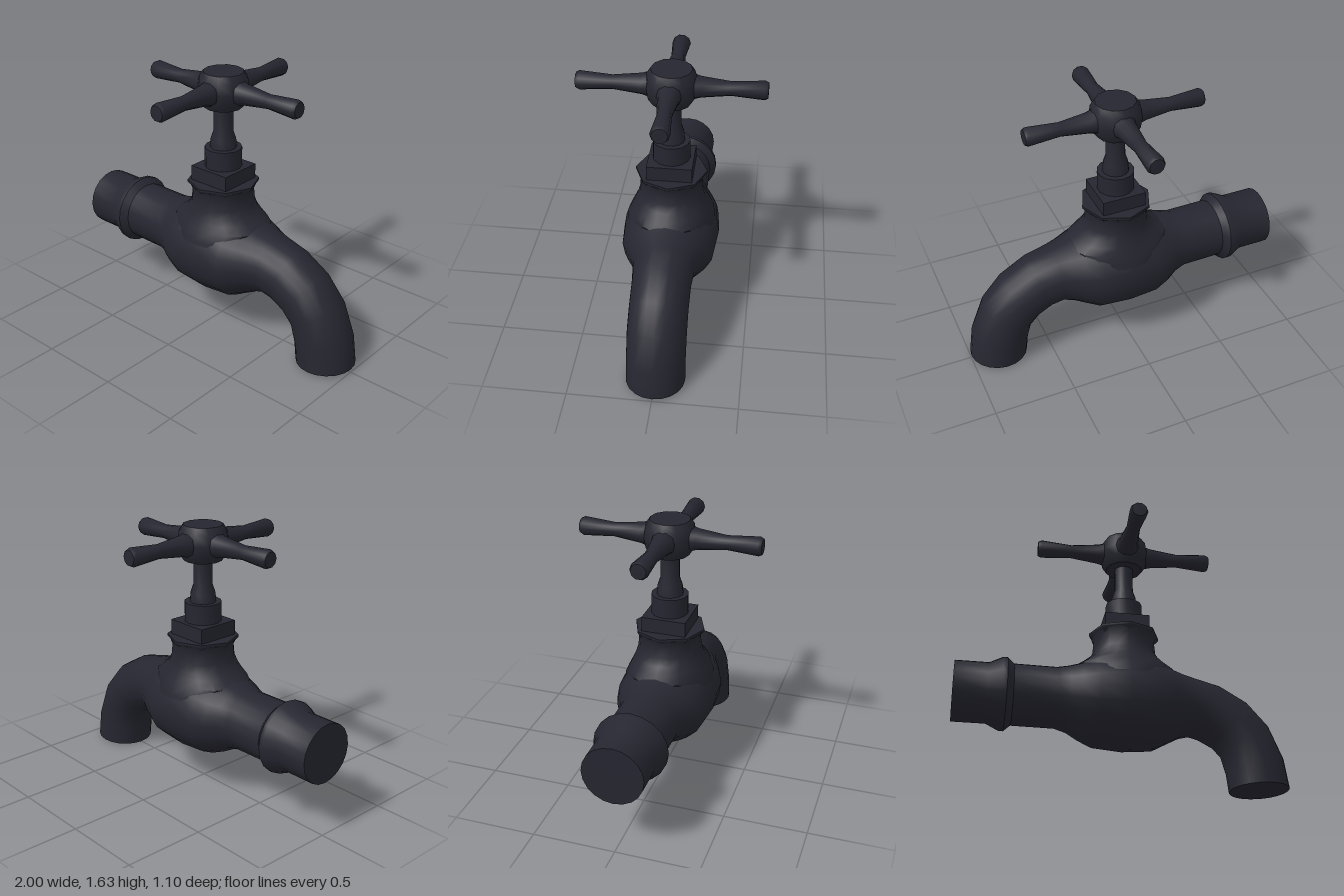
import * as THREE from 'three';
import { toCreasedNormals } from 'three/addons/utils/BufferGeometryUtils.js';

const CX = 0.01; // axis of the valve

const darkMetal = new THREE.MeshStandardMaterial({ color: 0x262631 });
darkMetal.name = 'dark metal';

// Closed skin over elliptical rings; each ring is [ax, ay, bx, by, halfWidthZ],
// where a and b are opposite points of the ring in the z = 0 plane.
function loft(rings, sides) {
  const pos = [];
  const point = ([ax, ay, bx, by, w], j) => {
    const t = (j / sides) * Math.PI * 2;
    const c = Math.cos(t) / 2;
    return [(ax + bx) / 2 + (ax - bx) * c, (ay + by) / 2 + (ay - by) * c, w * Math.sin(t)];
  };
  const middle = ([ax, ay, bx, by]) => [(ax + bx) / 2, (ay + by) / 2, 0];
  const last = rings.length - 1;
  for (let j = 0; j < sides; j++) {
    for (let i = 0; i < last; i++) {
      const p = point(rings[i], j), q = point(rings[i], j + 1);
      const r = point(rings[i + 1], j + 1), s = point(rings[i + 1], j);
      pos.push(...p, ...q, ...r, ...p, ...r, ...s);
    }
    pos.push(...middle(rings[0]), ...point(rings[0], j + 1), ...point(rings[0], j));
    pos.push(...middle(rings[last]), ...point(rings[last], j), ...point(rings[last], j + 1));
  }
  const g = new THREE.BufferGeometry();
  g.setAttribute('position', new THREE.Float32BufferAttribute(pos, 3));
  return toCreasedNormals(g, 0.65);
}

function turned(profile, sides) {
  const g = new THREE.LatheGeometry(profile.map(([r, y]) => new THREE.Vector2(r, y)), sides);
  return toCreasedNormals(g, 0.8);
}

export function createModel() {
  const model = new THREE.Group();
  model.name = 'tap';
  const add = (name, geometry, parent = model) => {
    const mesh = new THREE.Mesh(geometry, darkMetal);
    mesh.name = name;
    parent.add(mesh);
    return mesh;
  };

  // Inlet pipe, collar, valve bulge and curved spout in one run
  const straight = [
    // x, top, bottom, half width
    [-1, 0.7, 0.34, 0.183], [-0.8, 0.7, 0.34, 0.183], [-0.72, 0.738, 0.302, 0.222],
    [-0.695, 0.738, 0.302, 0.222], [-0.655, 0.703, 0.337, 0.184], [-0.4, 0.7, 0.335, 0.187],
    [-0.33, 0.712, 0.315, 0.21], [-0.26, 0.73, 0.275, 0.25], [-0.17, 0.76, 0.235, 0.283],
    [0.01, 0.79, 0.22, 0.297], [0.19, 0.76, 0.235, 0.283], [0.28, 0.73, 0.283, 0.245],
    [0.35, 0.708, 0.319, 0.21],
  ].map(([x, top, bottom, w]) => [x, top, x, bottom, w]);
  const spout = [
    [0.43, 0.69, 0.41, 0.333, 0.185], [0.59, 0.65, 0.47, 0.315, 0.175],
    [0.76, 0.55, 0.55, 0.272, 0.174], [0.89, 0.4, 0.6, 0.22, 0.175],
    [0.972, 0.2, 0.628, 0.115, 0.175], [0.998, 0.02, 0.641, 0.004, 0.176],
  ];
  add('pipeAndSpout', loft([...straight, ...spout], 20));

  // Neck, flaring into the pipe below
  const neck = [
    // y, half size in x, half size in z
    [0.52, 0.26, 0.29], [0.64, 0.32, 0.268], [0.7, 0.325, 0.238], [0.74, 0.265, 0.22],
    [0.775, 0.222, 0.207], [0.82, 0.194, 0.193], [0.9, 0.186, 0.186], [0.935, 0.2, 0.2],
  ].map(([y, rx, rz]) => [CX - rx, y, CX + rx, y, rz]);
  add('neck', loft(neck, 20));

  // Everything turned about the valve axis
  const valve = new THREE.Group();
  valve.name = 'valve';
  valve.position.x = CX;
  model.add(valve);

  add('rim', turned([[0, 0.91], [0.187, 0.91], [0.216, 0.94], [0.216, 0.955], [0, 0.955]], 8), valve);
  const nut = add('squareNut', new THREE.BoxGeometry(0.272, 0.1, 0.272), valve);
  nut.position.y = 0.995;
  add('spindle', turned([
    [0, 1.04], [0.112, 1.04], [0.112, 1.165], [0.08, 1.165], [0.075, 1.22],
    [0.058, 1.27], [0.057, 1.43], [0, 1.43],
  ], 14), valve);

  // Cross handle
  const handle = new THREE.Group();
  handle.name = 'handle';
  valve.add(handle);
  add('hub', turned([
    [0, 1.42], [0.115, 1.42], [0.145, 1.465], [0.155, 1.53], [0.145, 1.595],
    [0.12, 1.633], [0, 1.636],
  ], 12), handle);
  for (let i = 0; i < 4; i++) {
    const arm = turned([
      [0, 0.05], [0.085, 0.09], [0.062, 0.17], [0.042, 0.34], [0.056, 0.53], [0.046, 0.55], [0, 0.552],
    ], 10);
    arm.rotateZ(-Math.PI / 2);
    arm.rotateY((i * Math.PI) / 2);
    add('handleArm', arm, handle).position.y = 1.527;
  }
  return model;
}
